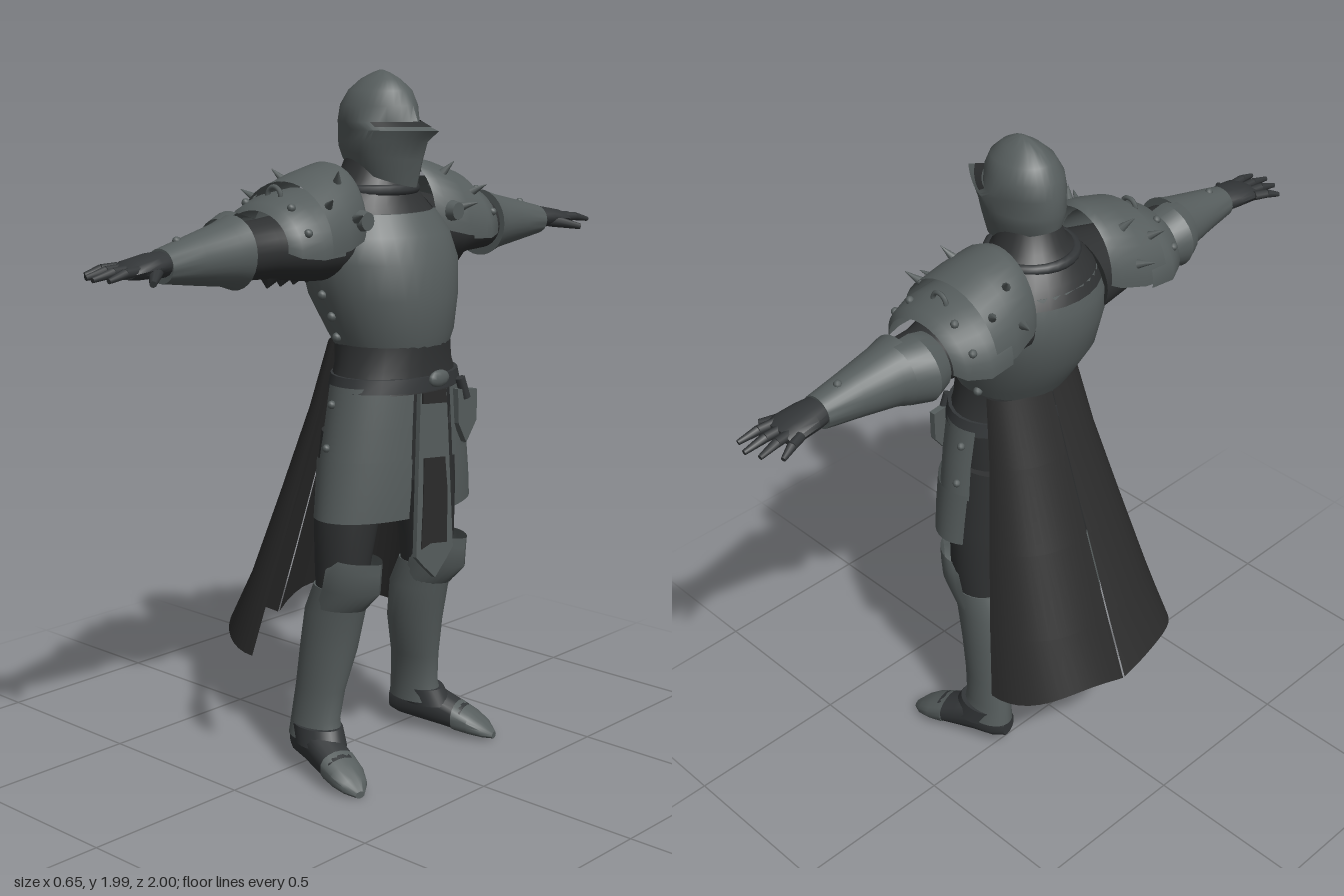
import * as THREE from 'three';
import { toCreasedNormals } from 'three/addons/utils/BufferGeometryUtils.js';

const mat = (name, color) => new THREE.MeshStandardMaterial({ name, color, side: THREE.DoubleSide });

// Skin rings [pos, xBack, xFront, halfWidth, peak, offset, tilt] along y or z.
// peak > 0 sharpens the front to a keel, peak < 0 squares the ring off.
function loft(axis, rings, { from = 0, to = Math.PI * 2, n = 28, caps = true, side = 1 } = {}) {
  const closed = to - from > 6.28, cols = closed ? n : n + 1;
  const p = [], idx = [];
  const put = (pos, x, w, off, dy = 0) =>
    axis === 'y' ? p.push(x, pos + dy, off + w) : p.push(x, off + w, side * pos);
  for (const [pos, xb, xf, hw, k = 0, off = 0, tilt = 0] of rings) {
    const cx = (xb + xf) / 2, rx = (xf - xb) / 2;
    for (let i = 0; i < cols; i++) {
      const t = from + (to - from) * i / n, c = Math.cos(t), s = Math.sin(t);
      const keel = k < 0 || c > 0 ? k : 0;
      const dx = rx * Math.sign(c) * ((1 - keel) * Math.abs(c) + keel * (1 - Math.abs(s)));
      put(pos, cx + dx, hw * s, off, tilt * dx);
    }
  }
  const rising = rings.at(-1)[0] > rings[0][0];
  const flip = (axis === 'y' || side < 0) ? !rising : rising;
  const tri = (a, b, c) => flip ? idx.push(a, c, b) : idx.push(a, b, c);
  for (let r = 0; r < rings.length - 1; r++) {
    for (let i = 0; i < n; i++) {
      const a = r * cols + i, b = r * cols + (i + 1) % cols;
      tri(a, a + cols, b);
      tri(b, a + cols, b + cols);
    }
  }
  if (closed && caps) {
    [0, rings.length - 1].forEach((r, end) => {
      const [pos, xb, xf, , , off = 0] = rings[r], m = p.length / 3;
      put(pos, (xb + xf) / 2, 0, off);
      for (let i = 0; i < n; i++) {
        const a = r * cols + i, b = r * cols + (i + 1) % n;
        end ? tri(a, m, b) : tri(a, b, m);
      }
    });
  }
  const g = new THREE.BufferGeometry();
  g.setAttribute('position', new THREE.Float32BufferAttribute(p, 3));
  g.setIndex(idx);
  return toCreasedNormals(g, 0.7);
}

export function createModel() {
  const root = new THREE.Group();
  root.name = 'armouredKnight';
  const steel = mat('steel', 0x565d5d), mail = mat('darkMail', 0x2f3132);
  const cloth = mat('capeCloth', 0x2b2b2b), leather = mat('darkLeather', 0x333638);

  const add = (name, geo, m) => {
    const mesh = new THREE.Mesh(geo, m);
    mesh.name = name;
    root.add(mesh);
    return mesh;
  };
  // Tapered rod between two points
  const rod = (name, a, b, r0, r1, m, n = 8) => {
    const A = new THREE.Vector3(...a), d = new THREE.Vector3(...b).sub(A);
    const mesh = add(name, new THREE.CylinderGeometry(r1, r0, d.length(), n), m);
    mesh.position.copy(A).addScaledVector(d, 0.5);
    mesh.quaternion.setFromUnitVectors(new THREE.Vector3(0, 1, 0), d.normalize());
    return mesh;
  };
  const rivet = (name, x, y, z, r = 0.012) => add(name, new THREE.SphereGeometry(r, 8, 6), steel).position.set(x, y, z);
  // Flat plate facing +x, outlined by [z, y] points
  const plate = (name, pts, depth, m, x, y, z, tilt = 0) => {
    const shape = new THREE.Shape(pts.map(([a, b]) => new THREE.Vector2(-a, b)));
    const g = new THREE.ExtrudeGeometry(shape, { depth, bevelEnabled: false }).rotateY(Math.PI / 2).rotateZ(tilt);
    add(name, g, m).position.set(x, y, z);
  };

  // Helmet with beaked visor and sight slit
  add('helmet', loft('y', [
    [1.72, -0.03, 0.23, 0.078, 0.3, 0, -0.32], [1.77, -0.035, 0.25, 0.098, 0.4, 0, -0.12],
    [1.805, -0.037, 0.27, 0.104, 0.5], [1.835, -0.037, 0.31, 0.106, 0.7], [1.856, -0.034, 0.235, 0.105, 0.45],
    [1.9, -0.025, 0.217, 0.099, 0.2], [1.94, 0, 0.192, 0.078], [1.97, 0.035, 0.16, 0.045],
    [1.987, 0.07, 0.13, 0.018], [1.995, 0.095, 0.105, 0.003]], { n: 36 }), steel);
  add('sightSlit', loft('y', [[1.845, -0.034, 0.283, 0.109, 0.6], [1.858, -0.034, 0.24, 0.108, 0.45]],
    { from: -1.1, to: 1.1 }), mail);

  // Neck and collar
  add('mailCollar', loft('y', [[1.58, -0.115, 0.255, 0.205], [1.63, -0.09, 0.205, 0.175], [1.67, -0.06, 0.185, 0.135],
    [1.7, -0.03, 0.17, 0.1], [1.77, 0, 0.16, 0.08]]), mail);
  add('collarRing', new THREE.TorusGeometry(0.12, 0.016, 8, 28).rotateX(Math.PI / 2), leather).position.set(0.065, 1.67, 0);

  // Breastplate and backplate
  add('cuirass', loft('y', [[1.21, 0.005, 0.29, 0.155], [1.28, -0.04, 0.312, 0.185], [1.38, -0.1, 0.318, 0.215],
    [1.48, -0.12, 0.306, 0.235], [1.55, -0.12, 0.277, 0.225], [1.61, -0.1, 0.235, 0.19]], { n: 36 }), steel);

  // Waist cloth, belt and hips
  add('waistCloth', loft('y', [[1.12, 0, 0.306, 0.215], [1.19, 0, 0.298, 0.185], [1.25, -0.012, 0.302, 0.173]]), mail);
  add('belt', loft('y', [[1.125, -0.004, 0.312, 0.218], [1.165, -0.004, 0.31, 0.205]]), leather);
  add('hips', loft('y', [[0.86, 0.02, 0.25, 0.2], [1.0, 0, 0.275, 0.2], [1.13, 0, 0.295, 0.2]]), mail);
  add('buckle', new THREE.SphereGeometry(0.035, 12, 8).scale(0.4, 0.7, 1.2), steel).position.set(0.31, 1.155, -0.01);

  // Front tabard with dark inset, and belt pouch
  plate('tabard', [[-0.055, 0], [0.055, 0], [0.08, -0.47], [0.05, -0.5], [0, -0.545], [-0.05, -0.5], [-0.08, -0.47]],
    0.014, steel, 0.286, 1.125, 0, 0.02);
  plate('tabardInset', [[-0.045, 0], [0.045, 0.01], [0.05, -0.12], [0.06, -0.25], [0.02, -0.24], [-0.05, -0.25], [-0.055, -0.1]],
    0.005, cloth, 0.3015, 0.925, 0, 0.02);
  plate('tabardTopInset', [[-0.05, 0], [0.05, 0], [0.05, -0.03], [-0.05, -0.04]], 0.005, cloth, 0.3, 1.12, 0, 0.02);
  plate('pouch', [[-0.045, 0.07], [0.04, 0.08], [0.035, -0.02], [0, -0.08], [-0.045, -0.02]], 0.02, steel, 0.285, 1.03, -0.14);
  rod('pouchStrap', [0.295, 1.14, -0.12], [0.3, 1.08, -0.14], 0.015, 0.015, leather);

  // Split cape
  for (const start of [Math.PI / 2, Math.PI]) {
    const g = loft('y', [[1.25, -0.012, 0.172, 0.168], [1.05, -0.075, 0.165, 0.195, -0.1], [0.8, -0.16, 0.16, 0.245, -0.2],
      [0.55, -0.245, 0.15, 0.295, -0.3], [0.34, -0.32, 0.14, 0.335, -0.35]], { from: start + 0.01, to: start + Math.PI / 2 - 0.01, n: 14 });
    const pos = g.attributes.position;
    for (let i = 0; i < pos.count; i++) {
      if (pos.getY(i) < 0.35) pos.setY(i, 0.335 + 0.06 * Math.sin(Math.PI * Math.min(1, Math.abs(pos.getZ(i)) / 0.335)));
    }
    add('capeHalf', g, cloth);
  }

  for (const s of [1, -1]) {
    const side = s > 0 ? 'left' : 'right';
    const part = (name) => side + name;

    // Side rivets of the cuirass
    [[0.1, 1.27, 0.18], [0.1, 1.33, 0.2], [0.08, 1.39, 0.217], [0.06, 1.45, 0.23]]
      .forEach(([x, y, z]) => rivet(part('CuirassRivet'), x, y, s * z, 0.014));

    // Layered shoulder armour
    add(part('UpperPauldron'), loft('z', [[0.145, -0.1, 0.18, 0.17, 0, 1.575], [0.17, -0.115, 0.2, 0.185, 0, 1.565],
      [0.25, -0.135, 0.22, 0.185, 0, 1.545], [0.325, -0.14, 0.225, 0.17, 0, 1.535]],
      { from: -0.1, to: Math.PI + 0.1, side: s, n: 20 }), steel);
    add(part('LowerPauldron'), loft('z', [[0.27, -0.14, 0.22, 0.155, 0, 1.53], [0.35, -0.145, 0.22, 0.15, 0, 1.525],
      [0.41, -0.115, 0.195, 0.125, 0, 1.53], [0.432, -0.085, 0.165, 0.095, 0, 1.54]],
      { from: -0.1, to: Math.PI + 0.1, side: s, n: 20 }), steel);
    for (const [z, t, r] of [[0.22, 0.35, 0.185], [0.22, 1.0, 0.185], [0.22, 2.2, 0.185], [0.22, 2.8, 0.185], [0.3, 0.6, 0.175], [0.3, 2.5, 0.175]]) {
      const x = 0.042, y = 1.545, c = Math.cos(t), h = Math.sin(t);
      rod(part('PauldronSpike'), [x + r * 0.96 * c, y + r * h, s * z],
        [x + (r + 0.04) * c, y + (r + 0.04) * h, s * (z + 0.02)], 0.013, 0.001, steel);
    }
    for (const t of [0.4, 1.0, 2.1, 2.7]) rivet(part('PauldronRivet'), 0.04 + 0.165 * Math.cos(t), 1.528 + 0.138 * Math.sin(t), s * 0.385);
    add(part('TopLoop'), new THREE.TorusGeometry(0.025, 0.007, 6, 12, Math.PI), steel).position.set(0.04, 1.668, s * 0.36);
    rod(part('ShoulderDisc'), [0.2, 1.6, s * 0.19], [0.225, 1.6, s * 0.19], 0.03, 0.025, steel, 14);

    // Mail sleeve with ragged underside
    add(part('MailSleeve'), loft('z', [[0.14, -0.09, 0.2, 0.12, 0, 1.54], [0.3, -0.06, 0.165, 0.095, 0, 1.53],
      [0.42, -0.05, 0.125, 0.08, 0, 1.53], [0.55, -0.04, 0.115, 0.075, 0, 1.53]], { side: s }), mail);
    for (const z of [0.24, 0.29, 0.34, 0.39]) rod(part('MailFringe'), [0.05, 1.46, s * z], [0.05, 1.425, s * (z + 0.01)], 0.035, 0.002, mail);

    // Elbow guard and forearm armour
    add(part('ElbowGuard'), loft('z', [[0.43, -0.075, 0.1, 0.08, 0, 1.535], [0.485, -0.1, 0.1, 0.095, 0, 1.54], [0.54, -0.07, 0.1, 0.085, 0, 1.535]],
      { from: 1.3, to: 5, side: s, n: 16 }), steel);
    add(part('Vambrace'), loft('z', [[0.515, -0.062, 0.135, 0.1, 0, 1.53], [0.56, -0.045, 0.125, 0.085, 0, 1.53],
      [0.67, -0.02, 0.11, 0.065, 0, 1.525], [0.775, -0.002, 0.1, 0.045, 0, 1.52]], { side: s }), steel);
    rivet(part('VambraceRivet'), 0.04, 1.578, s * 0.71);

    // Gloved hand
    add(part('Palm'), loft('z', [[0.76, 0.005, 0.095, 0.035, 0, 1.525], [0.81, -0.01, 0.105, 0.032, 0, 1.525],
      [0.87, -0.015, 0.11, 0.026, 0, 1.52], [0.9, 0, 0.1, 0.016, 0, 1.515]], { side: s, n: 16 }), leather);
    for (const [x0, x1, z1] of [[-0.005, -0.035, 0.95], [0.025, 0.012, 0.985], [0.055, 0.056, 1.0], [0.085, 0.1, 0.985]]) {
      const mid = [(x0 + x1) / 2, 1.52, s * (0.87 + z1) / 2];
      rod(part('FingerBase'), [x0, 1.522, s * 0.87], mid, 0.014, 0.013, leather);
      rod(part('FingerTip'), mid, [x1, 1.508, s * z1], 0.013, 0.007, leather);
    }
    rod(part('Thumb'), [0.08, 1.515, s * 0.815], [0.147, 1.495, s * 0.885], 0.02, 0.009, leather);

    // Thigh plates in two lames
    const arc = s > 0 ? { from: 0.35, to: 1.95, n: 14 } : { from: -1.95, to: -0.35, n: 14 };
    add(part('UpperTasset'), loft('y', [[0.92, -0.015, 0.306, 0.258], [1.03, -0.005, 0.304, 0.24], [1.14, -0.004, 0.302, 0.217]], arc), steel);
    add(part('LowerTasset'), loft('y', [[0.77, -0.01, 0.308, 0.287], [0.85, -0.015, 0.312, 0.277], [0.94, -0.02, 0.312, 0.265]], arc), steel);
    for (const y of [0.97, 1.09]) rivet(part('TassetRivet'), 0.125, y, s * (0.25 - (y - 0.97) * 0.18));

    // Leg
    add(part('Thigh'), loft('y', [[0.5, 0.04, 0.19, 0.06, 0, s * 0.185], [0.65, 0.035, 0.21, 0.075, 0, s * 0.18],
      [0.8, 0.02, 0.225, 0.09, 0, s * 0.16], [1.0, 0.01, 0.25, 0.1, 0, s * 0.115]]), mail);
    add(part('Greave'), loft('y', [[0.1, -0.04, 0.145, 0.062, 0, s * 0.222], [0.16, -0.035, 0.13, 0.054, 0, s * 0.217],
      [0.25, -0.025, 0.14, 0.058, 0, s * 0.207], [0.37, -0.018, 0.165, 0.073, 0, s * 0.188],
      [0.48, -0.005, 0.19, 0.073, 0, s * 0.183], [0.56, 0.03, 0.215, 0.068, 0, s * 0.184]]), steel);
    add(part('KneeGuard'), loft('y', [[0.5, 0.02, 0.205, 0.07, 0.2, s * 0.185], [0.56, 0.03, 0.265, 0.073, 0.3, s * 0.185],
      [0.62, 0.05, 0.268, 0.074, 0.3, s * 0.185], [0.65, 0.08, 0.272, 0.062, 0.3, s * 0.185]],
      { from: -1.9, to: 1.9, n: 18 }), steel);

    // Splayed boot with steel toe cap
    const foot = (name, rings, m) => {
      const mesh = add(part(name), loft('z', rings, { n: 18 }), m);
      mesh.position.set(-0.025, 0, s * 0.21);
      mesh.rotation.y = Math.PI / 2 - s * 0.27;
    };
    foot('Boot', [[-0.005, -0.03, 0.03, 0.035, -0.3, 0.08], [0.03, -0.045, 0.045, 0.05, -0.3, 0.085],
      [0.1, -0.05, 0.05, 0.065, -0.2, 0.09], [0.17, -0.053, 0.053, 0.05, -0.2, 0.07], [0.24, -0.054, 0.054, 0.038, -0.2, 0.05]], leather);
    foot('ToeCap', [[0.215, -0.057, 0.057, 0.044, -0.2, 0.056], [0.265, -0.054, 0.054, 0.034, -0.2, 0.041],
      [0.305, -0.042, 0.042, 0.023, -0.1, 0.026], [0.335, -0.015, 0.015, 0.01, 0, 0.011]], steel);
    add(part('AnkleGuard'), loft('y', [[0.09, 0, 0.17, 0.062, 0, s * 0.235], [0.14, -0.02, 0.145, 0.06, 0, s * 0.225]]), leather);
  }
  return root;
}
